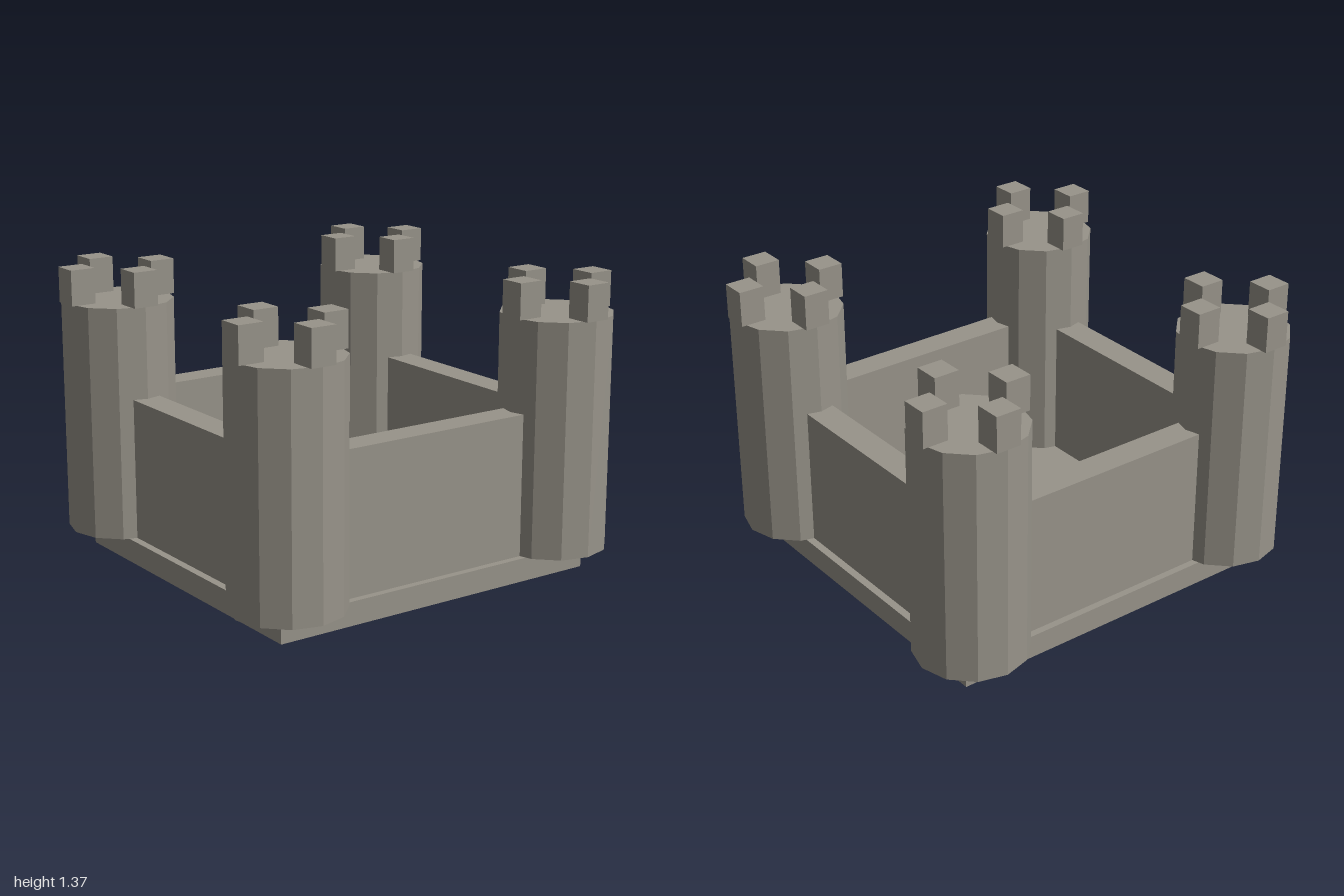
import * as THREE from 'three';

export function createModel() {
  const stone = new THREE.MeshStandardMaterial({ color: 0x98948a });
  stone.name = 'stone';
  stone.flatShading = true;

  const castle = new THREE.Group();
  castle.name = 'castle';

  const TX = 0.732, TZ = 0.7;            // tower centres
  const BASE = 0.11, WALL = 0.775, TOP = 1.205, CROWN = 1.37;

  function box(parent, name, w, y0, y1, d, x, z) {
    const mesh = new THREE.Mesh(new THREE.BoxGeometry(w, y1 - y0, d), stone);
    mesh.name = name;
    mesh.position.set(x, (y0 + y1) / 2, z);
    parent.add(mesh);
  }

  // Floor slab
  box(castle, 'base', 1.67, 0, BASE, 1.604, 0, 0);

  // Curtain walls, with their ends buried in the towers
  for (const s of [1, -1]) {
    box(castle, s > 0 ? 'frontWall' : 'backWall', 1.2, BASE, WALL, 0.138, 0, s * TZ);
    box(castle, s > 0 ? 'leftWall' : 'rightWall', 0.138, BASE, WALL, 1.14, s * (TX - 0.003), 0);
  }

  // Twelve-sided corner towers, each crowned with four merlons
  const shaft = new THREE.CylinderGeometry(0.26, 0.26, TOP - BASE, 12);
  for (const sx of [1, -1]) {
    for (const sz of [1, -1]) {
      const tower = new THREE.Group();
      tower.name = (sz > 0 ? 'front' : 'back') + (sx > 0 ? 'Left' : 'Right') + 'Tower';
      tower.position.set(sx * TX, 0, sz * TZ);
      const body = new THREE.Mesh(shaft, stone);
      body.name = 'towerShaft';
      body.position.y = (BASE + TOP) / 2;
      tower.add(body);
      for (const [dx, dz] of [[1, 0], [-1, 0], [0, 1], [0, -1]]) {
        box(tower, 'merlon', 0.121, TOP, CROWN, 0.121, dx * 0.2075, dz * 0.2075);
      }
      castle.add(tower);
    }
  }
  return castle;
}
